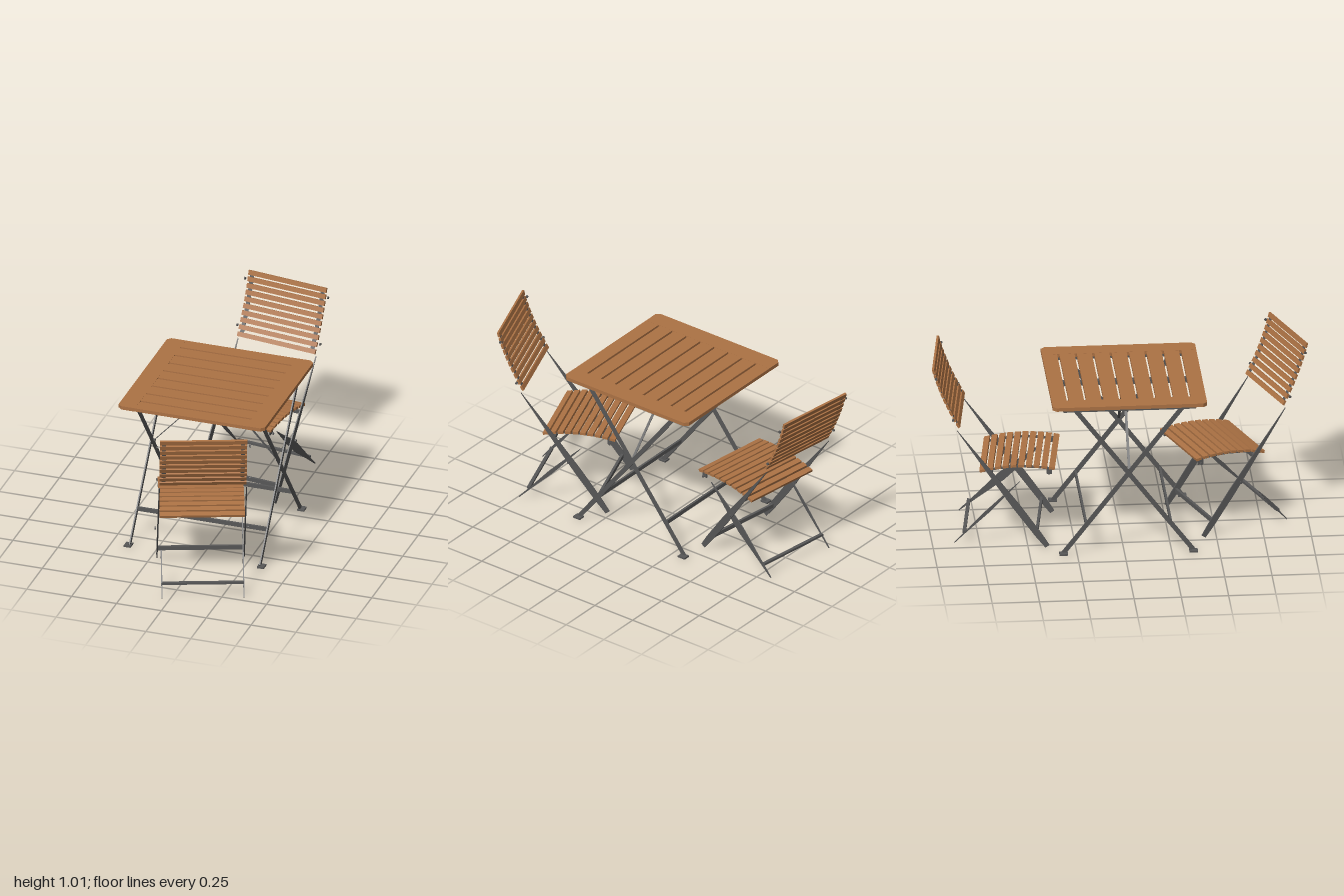
import * as THREE from 'three';

const wood = new THREE.MeshStandardMaterial({ color: 0xac7244, name: 'oiled wood' });
const metal = new THREE.MeshStandardMaterial({ color: 0x575757, name: 'dark metal', side: THREE.DoubleSide });

function add(parent, name, geometry, material, x = 0, y = 0, z = 0) {
  const mesh = new THREE.Mesh(geometry, material);
  mesh.name = name;
  mesh.position.set(x, y, z);
  parent.add(mesh);
  return mesh;
}

const box = (parent, name, material, w, h, d, x, y, z) =>
  add(parent, name, new THREE.BoxGeometry(w, h, d), material, x, y, z);

// straight bar from a to b with cross-section w by d
function bar(parent, name, a, b, w, d) {
  const from = new THREE.Vector3(...a), to = new THREE.Vector3(...b);
  const dir = to.clone().sub(from);
  const mesh = add(parent, name, new THREE.BoxGeometry(w, dir.length(), d), metal);
  mesh.position.copy(from).lerp(to, 0.5);
  mesh.quaternion.setFromUnitVectors(new THREE.Vector3(0, 1, 0), dir.normalize());
  return mesh;
}

// thin tapering leg plate lying in the z-y plane; profile holds [t, half width]
function blade(parent, name, x, a, b, profile) {
  const dir = new THREE.Vector2(b[0] - a[0], b[1] - a[1]);
  const n = new THREE.Vector2(-dir.y, dir.x).normalize();
  const at = (t, w) => new THREE.Vector2(a[0] + dir.x * t + n.x * w, a[1] + dir.y * t + n.y * w);
  const pts = profile.map(([t, w]) => at(t, w))
    .concat([...profile].reverse().map(([t, w]) => at(t, -w)));
  const geo = new THREE.ExtrudeGeometry(new THREE.Shape(pts), { depth: 0.006, bevelEnabled: false });
  geo.translate(0, 0, -0.003).rotateY(-Math.PI / 2);
  return add(parent, name, geo, metal, x);
}

function bolt(parent, x, y, z) {
  const geo = new THREE.CylinderGeometry(0.007, 0.007, 0.008, 10).rotateZ(Math.PI / 2);
  add(parent, 'bolt', geo, metal, x, y, z);
}

function createTable() {
  const g = new THREE.Group();
  g.name = 'table';
  const half = 0.408, inner = 0.31, cut = 0.02;

  // end boards with clipped outer corners
  for (const s of [-1, 1]) {
    const shape = new THREE.Shape([
      [inner, -half], [half - cut, -half], [half, -half + cut],
      [half, half - cut], [half - cut, half], [inner, half],
    ].map(([x, y]) => new THREE.Vector2(x, y)));
    const geo = new THREE.ExtrudeGeometry(shape, { depth: 0.02, bevelEnabled: false });
    geo.rotateX(-Math.PI / 2);
    add(g, 'endBoard', geo, wood, 0, 0.841, 0).rotation.y = s > 0 ? 0 : Math.PI;
  }

  // nine slats between the end boards
  const pitch = 0.092;
  for (let i = 0; i < 9; i++)
    box(g, 'tableSlat', wood, inner * 2, 0.019, 0.08, 0, 0.851, (i - 4) * pitch);

  // rails under the top
  for (const x of [-0.352, 0, 0.352])
    box(g, 'topRail', metal, 0.03, 0.024, 0.7, x, 0.828, 0);

  // two crossing flat-bar leg frames, each with feet and a stretcher
  for (const [hx, zTop, zFoot] of [[0.363, -0.285, 0.338], [0.351, 0.285, -0.348]]) {
    for (const s of [-1, 1]) {
      bar(g, 'tableLeg', [s * hx, 0.825, zTop], [s * hx, 0.006, zFoot], 0.007, 0.024);
      box(g, 'foot', metal, 0.038, 0.009, 0.045, s * (hx + 0.008), 0.0045, zFoot);
      bolt(g, s * (hx + 0.007), 0.82, zTop);
    }
    const z = zFoot + (zTop - zFoot) * 0.19;
    bar(g, 'tableStretcher', [-hx, 0.164, z], [hx, 0.164, z], 0.022, 0.012);
  }

  // braces from the leg crossings up to the centre rail
  for (const s of [-1, 1]) {
    bar(g, 'brace', [s * 0.345, 0.465, 0], [s * 0.01, 0.83, 0], 0.003, 0.014);
    bolt(g, s * 0.341, 0.465, 0);
  }
  g.position.set(-0.032, 0, 0.026);
  return g;
}

// chair faces -z locally, with its back towards +z
const seatAt = z => 0.458 - 0.58 * (z + 0.05) ** 2;
const backAt = t => 0.315 + 0.129 * (1.35 * t - 0.35 * t * t);

// shortLegs holds [top point, widest half width] for the -x and +x sides
function createChair(name, shortLegs) {
  const g = new THREE.Group();
  g.name = name;

  // seat slats following a gentle curve
  for (let i = 0; i < 10; i++) {
    const z = -0.18 + i * 0.0407;
    box(g, 'seatSlat', wood, 0.45, 0.014, 0.031, 0, seatAt(z), z)
      .rotation.x = Math.atan(1.16 * (z + 0.05));
  }

  // curved backrest slats
  for (let i = 0; i < 10; i++) {
    const t = i / 9;
    box(g, 'backSlat', wood, 0.46, 0.025, 0.012, 0, 0.682 + t * 0.306, backAt(t))
      .rotation.x = Math.atan(0.129 * (1.35 - 0.7 * t) / 0.306);
  }

  const longProfile = [[0, 0.0005], [0.35, 0.012], [0.65, 0.02], [0.9, 0.018], [1, 0.013]];
  for (const s of [-1, 1]) {
    // uprights set inside the back slats, and rails under the seat
    for (let i = 0; i < 4; i++) {
      const a = i / 4, b = (i + 1) / 4;
      bar(g, 'backUpright', [s * 0.208, 0.682 + a * 0.306, backAt(a)],
        [s * 0.208, 0.682 + b * 0.306, backAt(b)], 0.022, 0.004);
      const za = -0.185 + a * 0.37, zb = -0.185 + b * 0.37;
      bar(g, 'seatRail', [s * 0.2, seatAt(za) - 0.011, za], [s * 0.2, seatAt(zb) - 0.011, zb], 0.016, 0.008);
    }
    box(g, 'seatBracket', metal, 0.006, 0.032, 0.03, s * 0.21, 0.428, -0.165);

    // long leg from the back to the front foot, short leg to the rear foot
    blade(g, 'longLeg', s * 0.23, [0.32, 0.655], [-0.157, 0.004], longProfile);
    const [top, w] = shortLegs[s < 0 ? 0 : 1];
    blade(g, 'shortLeg', s * 0.216, top, [0.335, 0.008],
      [[0, 0.0005], [0.3, w * 0.75], [0.5, w], [0.8, w * 0.4], [1, 0.002]]);

    for (const [x, y, z] of [[0.245, 0.955, 0.43], [0.245, 0.72, 0.34], [0.245, 0.28, 0.055], [0.222, 0.42, -0.165]])
      bolt(g, s * x, y, z);
  }

  // cross bars
  bar(g, 'frontCrossBar', [-0.23, 0.08, -0.1], [0.23, 0.08, -0.1], 0.022, 0.014);
  bar(g, 'rearCrossBar', [-0.216, 0.07, 0.283], [0.216, 0.07, 0.283], 0.012, 0.018);
  bar(g, 'seatCrossBar', [-0.23, 0.407, 0.14], [0.23, 0.407, 0.14], 0.02, 0.012);
  return g;
}

export function createModel() {
  const model = new THREE.Group();
  model.name = 'gardenTableSet';
  model.add(createTable());

  const front = createChair('frontChair', [[[0.165, 0.205], 0.009], [[-0.01, 0.365], 0.011]]);
  front.position.set(0.049, 0, 0.497);
  front.rotation.y = 0.36;
  model.add(front);

  const rear = createChair('rearChair', [[[-0.11, 0.405], 0.024], [[-0.01, 0.365], 0.009]]);
  rear.position.set(-0.034, 0, -0.523);
  rear.rotation.y = Math.PI - 0.137;
  model.add(rear);
  return model;
}
